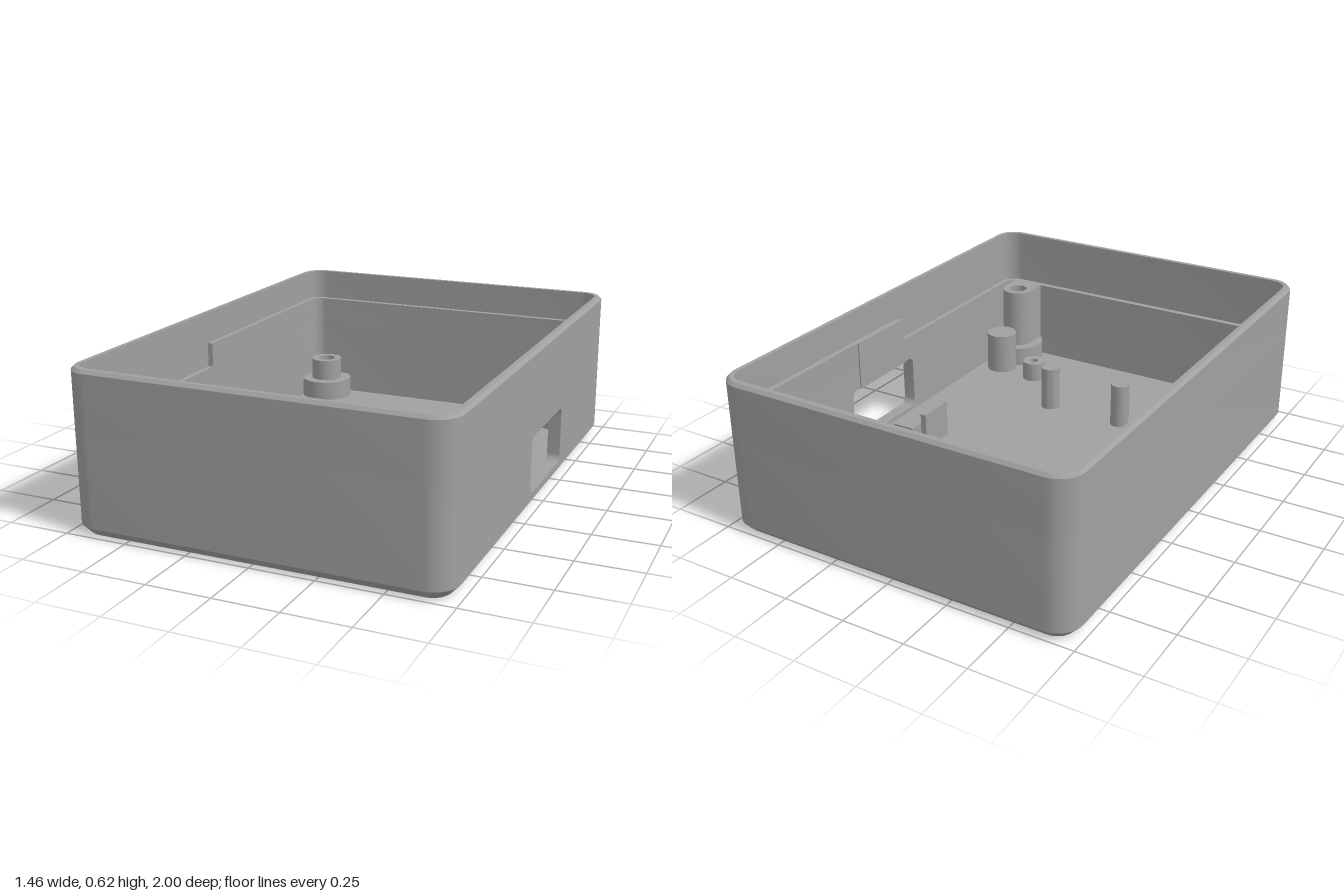
import * as THREE from 'three';
import { toCreasedNormals } from 'three/addons/utils/BufferGeometryUtils.js';

// Plan outlines use (x, -z), so that extruding runs upward along y.
const V = (x, y) => new THREE.Vector2(x, y);

// Points around the first `count` rounded corners of a rectangle, counter-clockwise from +x
function corners(hx, hz, r, count = 4) {
  const pts = [];
  for (let k = 0; k < count; k++) {
    const sx = k === 0 || k === 3 ? 1 : -1, sy = k < 2 ? 1 : -1;
    for (let i = 0; i <= 10; i++) {
      const a = (k + i / 10) * Math.PI / 2;
      pts.push(V(sx * (hx - r) + r * Math.cos(a), sy * (hz - r) + r * Math.sin(a)));
    }
  }
  return pts;
}

function circle(cx, cy, r, n = 32, phase = 0) {
  return Array.from({ length: n }, (_, i) => {
    const a = phase + i / n * Math.PI * 2;
    return V(cx + r * Math.cos(a), cy + r * Math.sin(a));
  });
}

function extrude(pts, holes, depth) {
  const shape = new THREE.Shape(pts);
  for (const h of holes) shape.holes.push(new THREE.Path(h));
  return new THREE.ExtrudeGeometry(shape, { depth, bevelEnabled: false });
}

// Sloped band between two outlines
function loft(lower, y0, upper, y1) {
  const pos = [], idx = [], n = lower.length;
  lower.forEach((p, i) => pos.push(p.x, y0, -p.y, upper[i].x, y1, -upper[i].y));
  for (let i = 0; i < n; i++) {
    const a = 2 * i, b = 2 * ((i + 1) % n);
    idx.push(a, b, b + 1, a, b + 1, a + 1);
  }
  const g = new THREE.BufferGeometry();
  g.setAttribute('position', new THREE.Float32BufferAttribute(pos, 3));
  g.setIndex(idx);
  return g;
}

export function createModel() {
  const grey = new THREE.MeshStandardMaterial({ color: 0xa0a0a0 });
  grey.name = 'grey plastic';
  const model = new THREE.Group();
  model.name = 'enclosure';

  const add = (name, geo) => {
    const mesh = new THREE.Mesh(toCreasedNormals(geo, 0.6), grey);
    mesh.name = name;
    model.add(mesh);
  };
  const slab = (name, pts, holes, y0, y1) =>
    add(name, extrude(pts, holes, y1 - y0).rotateX(-Math.PI / 2).translate(0, y0, 0));
  const box = (name, x0, x1, y0, y1, z0, z1) =>
    add(name, new THREE.BoxGeometry(x1 - x0, y1 - y0, z1 - z0)
      .translate((x0 + x1) / 2, (y0 + y1) / 2, (z0 + z1) / 2));

  const FLOOR = 0.045, LOW = 0.395, HIGH = 0.495, TOP = 0.625;
  const outer = corners(0.73, 1, 0.1);
  const foot = corners(0.697, 0.967, 0.067);
  const rim = corners(0.718, 0.988, 0.088);
  const innerThin = corners(0.7, 0.968, 0.07);
  const screws = [[-0.58, 0.85], [0.58, 0.85], [-0.58, -0.85], [0.58, -0.85]];
  const hex = ([x, y]) => circle(x, y, 0.07, 6, Math.PI / 6);

  // Floor with nut pockets and a small pin hole
  slab('floor', foot, [...screws.map(hex), circle(0.39, -0.675, 0.018, 20)], 0, FLOOR);
  add('bottomChamfer', loft(foot, 0, outer, 0.035));

  // Lower wall, left open on the +x side for the port panel
  slab('lowerWall', [
    V(0.73, 0.4), ...outer, V(0.73, -0.22),
    V(0.678, -0.22), ...corners(0.678, 0.942, 0.05).reverse(), V(0.678, 0.4),
  ], [], 0.035, LOW);

  // Panel with the rounded port opening
  const port = corners(0.21, 0.115, 0.03).map(p => V(p.x + 0.09, p.y + 0.178));
  add('portPanel', extrude(
    [V(-0.22, 0.035), V(0.4, 0.035), V(0.4, LOW), V(-0.22, LOW)], [port], 0.052)
    .rotateY(Math.PI / 2).translate(0.678, 0, 0));
  box('portPad', 0.672, 0.679, 0.293, HIGH, -0.25, 0.06);

  // Thin upper wall, raised ledge around the rear half, and rim
  slab('upperWall', outer, [innerThin], LOW, TOP - 0.012);
  slab('rearLedge', [
    V(0.702, -0.05), ...corners(0.702, 0.97, 0.07, 2), V(-0.702, -0.05),
    V(-0.678, -0.05), ...corners(0.678, 0.942, 0.05, 2).reverse(), V(0.678, -0.05),
  ], [], LOW, HIGH);
  slab('rim', rim, [innerThin], TOP - 0.012, TOP);
  add('rimChamfer', loft(outer, TOP - 0.012, rim, TOP));

  // Screw posts: hexagonal pocket below, round hole above
  for (const s of screws) {
    const [x, y] = s;
    const hole = circle(x, y, 0.04);
    slab('screwBase', circle(x, y, 0.115, 40), [hex(s)], FLOOR, 0.1);
    slab('screwBaseTop', circle(x, y, 0.115, 40), [hole], 0.1, 0.13);
    if (y > 0) {
      slab('rearPost', circle(x, y, 0.07), [hole], 0.13, 0.225);
    } else {
      const arch = [V(x - 0.07, -0.95), V(x + 0.07, -0.95)];
      for (let i = 0; i <= 16; i++) {
        const a = i / 16 * Math.PI;
        arch.push(V(x + 0.07 * Math.cos(a), y + 0.07 * Math.sin(a)));
      }
      slab('frontPost', arch, [hole], 0.13, LOW);
      slab('boardSupport', circle(x, -0.7, 0.067), [], FLOOR, 0.225);
    }
  }

  // Small pins and hollow boss on the floor
  for (const x of [-0.175, 0.17]) slab('pin', circle(x, -0.45, 0.04, 24), [], FLOOR, 0.235);
  slab('hollowBoss', circle(0.39, -0.675, 0.05), [circle(0.39, -0.675, 0.02, 20)], FLOOR, 0.13);

  // Stop and rest blocks behind the port
  box('connectorStop', 0.41, 0.435, FLOOR - 0.01, 0.2, -0.17, -0.015);
  box('connectorRest', 0.48, 0.575, FLOOR - 0.01, 0.12, -0.17, -0.015);

  return model;
}
